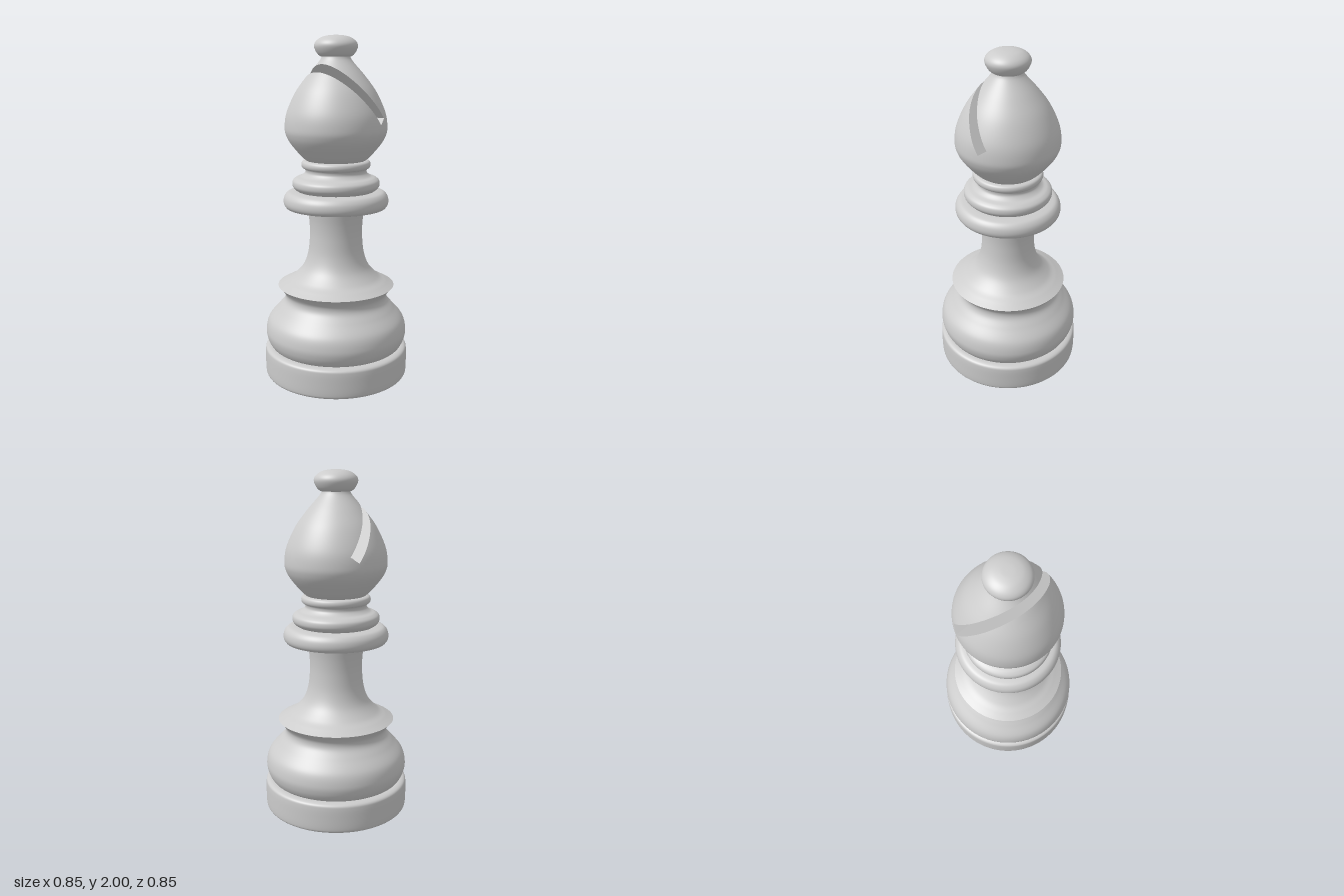
import * as THREE from 'three';

const material = new THREE.MeshStandardMaterial({ color: 0xcccccc });
const wallMaterial = new THREE.MeshStandardMaterial({ color: 0xcccccc, side: THREE.DoubleSide });
const SIDES = 96;

const toPoints = (list) => list.map(([r, y]) => new THREE.Vector2(r, y));
const smooth = (list, n = 8) => new THREE.SplineCurve(toPoints(list)).getPoints((list.length - 1) * n)
  .map((p) => new THREE.Vector2(Math.max(p.x, 0), p.y));

function turned(name, points) {
  const mesh = new THREE.Mesh(new THREE.LatheGeometry(points, SIDES), material);
  mesh.name = name;
  return mesh;
}

// Head profile, bottom to top
const headProfile = smooth([[0.165, 1.295], [0.2, 1.325], [0.255, 1.39], [0.284, 1.44], [0.293, 1.49],
  [0.28, 1.575], [0.23, 1.685], [0.165, 1.775], [0.1, 1.85], [0.083, 1.875], [0.08, 1.89]], 6);

function headRadius(y) {
  for (let i = 1; i < headProfile.length; i++) {
    const a = headProfile[i - 1], b = headProfile[i];
    if (y >= a.y && y <= b.y) return a.x + (b.x - a.x) * (y - a.y) / (b.y - a.y);
  }
  return 0;
}

// Slanted slot in the (z, y) plane: inner corner, run direction, normal, width
const slot = { z: -0.069, y: 1.513, dz: 0.604, dy: 0.797, width: 0.057 };
const along = (p) => (p.z - slot.z) * slot.dz + (p.y - slot.y) * slot.dy;
const across = (p) => -(p.z - slot.z) * slot.dy + (p.y - slot.y) * slot.dz;
const slotPoint = (s, t) => ({ z: slot.z + s * slot.dz - t * slot.dy, y: slot.y + s * slot.dy + t * slot.dz });

// Keep the part of a polygon where f <= 0
function clip(poly, f) {
  const out = [];
  poly.forEach((a, i) => {
    const b = poly[(i + 1) % poly.length];
    const fa = f(a.p), fb = f(b.p);
    if (fa <= 0) out.push(a);
    if ((fa < 0 && fb > 0) || (fa > 0 && fb < 0)) {
      const k = fa / (fa - fb);
      out.push({ p: a.p.clone().lerp(b.p, k), n: a.n.clone().lerp(b.n, k).normalize() });
    }
  });
  return out;
}

// Turned head skin with the slot cut out of it
function slottedHead() {
  const source = new THREE.LatheGeometry(headProfile, SIDES);
  const pos = source.attributes.position, nor = source.attributes.normal, index = source.index;
  const regions = [
    [across],
    [(p) => -across(p), along],
    [(p) => -across(p), (p) => -along(p), (p) => slot.width - across(p)],
  ];
  const positions = [], normals = [];
  for (let i = 0; i < index.count; i += 3) {
    const tri = [0, 1, 2].map((k) => {
      const v = index.getX(i + k);
      return { p: new THREE.Vector3().fromBufferAttribute(pos, v), n: new THREE.Vector3().fromBufferAttribute(nor, v) };
    });
    for (const region of regions) {
      const poly = region.reduce(clip, tri);
      for (let k = 1; k + 1 < poly.length; k++) {
        for (const v of [poly[0], poly[k], poly[k + 1]]) {
          positions.push(v.p.x, v.p.y, v.p.z);
          normals.push(v.n.x, v.n.y, v.n.z);
        }
      }
    }
  }
  const geometry = new THREE.BufferGeometry();
  geometry.setAttribute('position', new THREE.Float32BufferAttribute(positions, 3));
  geometry.setAttribute('normal', new THREE.Float32BufferAttribute(normals, 3));
  const mesh = new THREE.Mesh(geometry, material);
  mesh.name = 'headSkin';
  return mesh;
}

// Flat slot wall: a strip spanning the head's width at each point
function slotWall(name, points) {
  const positions = [], indices = [];
  points.forEach((p, i) => {
    const half = Math.sqrt(Math.max(headRadius(p.y) ** 2 - p.z ** 2, 0));
    positions.push(-half, p.y, p.z, half, p.y, p.z);
    if (i) indices.push(2 * i - 2, 2 * i - 1, 2 * i, 2 * i - 1, 2 * i + 1, 2 * i);
  });
  const geometry = new THREE.BufferGeometry();
  geometry.setAttribute('position', new THREE.Float32BufferAttribute(positions, 3));
  geometry.setIndex(indices);
  geometry.computeVertexNormals();
  const mesh = new THREE.Mesh(geometry, wallMaterial);
  mesh.name = name;
  return mesh;
}

// Points along one long side of the slot, from its inner end out to the skin
function sidePoints(t, n = 48) {
  let lo = 0, hi = 0.6;
  for (let i = 0; i < 40; i++) {
    const mid = (lo + hi) / 2, p = slotPoint(mid, t);
    if (headRadius(p.y) > Math.abs(p.z)) lo = mid; else hi = mid;
  }
  return Array.from({ length: n + 1 }, (_, i) => slotPoint(lo * Math.sin(i / n * Math.PI / 2), t));
}

export function createModel() {
  const model = new THREE.Group();
  model.name = 'chessBishop';

  // Base disc with rounded rims
  model.add(
    turned('baseUnderside', toPoints([[0, 0], [0.31, 0], [0.315, 0.008], [0.405, 0.008]])),
    turned('baseDisc', smooth([[0.405, 0.008], [0.42, 0.018], [0.425, 0.04], [0.426, 0.1], [0.425, 0.155],
      [0.42, 0.177], [0.4, 0.187], [0.37, 0.188]])),
  );

  // Bulging foot, sharp flange and waisted stem
  model.add(
    turned('foot', smooth([[0.375, 0.186], [0.393, 0.2], [0.412, 0.24], [0.418, 0.29], [0.4, 0.355],
      [0.345, 0.42], [0.308, 0.465], [0.302, 0.5], [0.318, 0.53], [0.343, 0.557]])),
    turned('stem', smooth([[0.343, 0.557], [0.3, 0.58], [0.25, 0.61], [0.195, 0.67], [0.165, 0.75],
      [0.154, 0.85], [0.156, 0.94], [0.168, 1.03]])),
  );

  // Collar rings
  model.add(
    turned('lowerCollar', smooth([[0.15, 1.022], [0.27, 1.023], [0.295, 1.033], [0.305, 1.058], [0.3, 1.09],
      [0.28, 1.114], [0.25, 1.122], [0.22, 1.124]])),
    turned('middleCollar', smooth([[0.22, 1.122], [0.238, 1.134], [0.252, 1.155], [0.25, 1.182], [0.23, 1.199],
      [0.2, 1.21], [0.18, 1.228], [0.178, 1.245], [0.185, 1.257]])),
    turned('upperCollar', smooth([[0.17, 1.252], [0.192, 1.257], [0.2, 1.274], [0.195, 1.292], [0.178, 1.3], [0.15, 1.3]])),
  );

  // Slotted head
  const head = new THREE.Group();
  head.name = 'head';
  const endPoints = Array.from({ length: 9 }, (_, i) => slotPoint(0, slot.width * i / 8));
  head.add(
    slottedHead(),
    slotWall('slotLowerWall', sidePoints(0)),
    slotWall('slotUpperWall', sidePoints(slot.width)),
    slotWall('slotEndWall', endPoints),
  );
  model.add(head);

  // Flattened finial ball
  model.add(turned('finial', smooth([[0.05, 1.878], [0.085, 1.882], [0.108, 1.902], [0.123, 1.938], [0.112, 1.966],
    [0.08, 1.988], [0.04, 1.998], [0, 2]])));

  return model;
}
